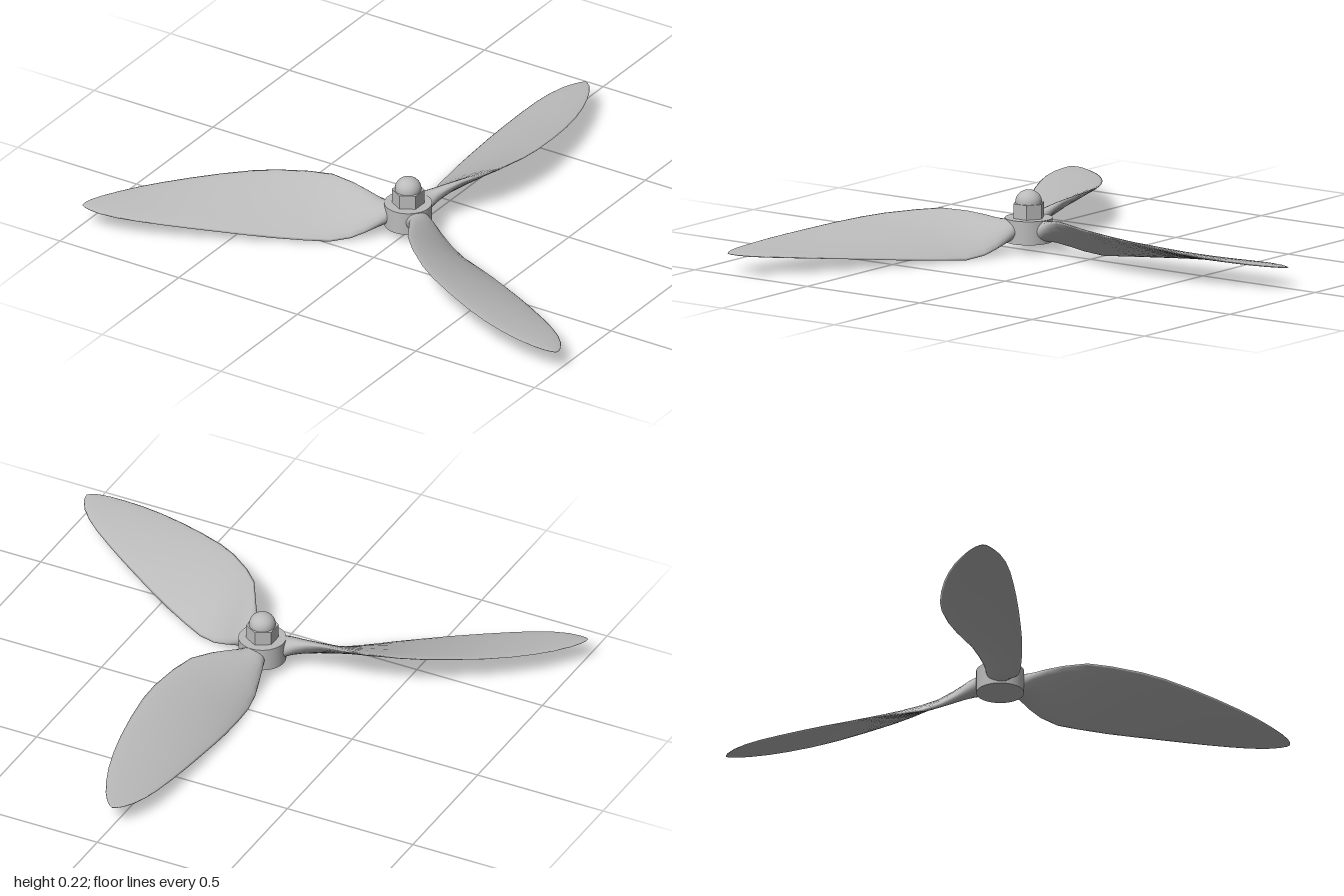
import * as THREE from 'three';

const HUB_Z = 0.275;

// Blade sections: distance from hub, low edge x, y, high edge x, y, thickness
const SECTIONS = [
  [0.03, -0.042, 0.083, 0.042, 0.083, 0.08],
  [0.075, -0.045, 0.075, 0.045, 0.095, 0.076],
  [0.11, -0.053, 0.052, 0.052, 0.118, 0.064],
  [0.15, -0.063, 0.033, 0.072, 0.134, 0.05],
  [0.2, -0.075, 0.016, 0.1, 0.147, 0.037],
  [0.275, -0.086, 0.006, 0.143, 0.155, 0.027],
  [0.36, -0.094, 0.013, 0.168, 0.151, 0.024],
  [0.475, -0.1, 0.023, 0.186, 0.144, 0.022],
  [0.56, -0.1, 0.031, 0.188, 0.137, 0.021],
  [0.675, -0.098, 0.042, 0.178, 0.126, 0.02],
  [0.78, -0.094, 0.051, 0.163, 0.115, 0.018],
  [0.875, -0.088, 0.059, 0.143, 0.106, 0.016],
  [0.96, -0.08, 0.066, 0.118, 0.099, 0.014],
  [1.03, -0.068, 0.071, 0.091, 0.093, 0.012],
  [1.09, -0.049, 0.075, 0.062, 0.089, 0.01],
  [1.13, -0.026, 0.078, 0.036, 0.086, 0.007],
  [1.148, -0.01, 0.08, 0.017, 0.084, 0.005],
  [1.155, 0.002, 0.082, 0.004, 0.082, 0.002],
];

// Loft of elliptical sections, twisted along the blade
function bladeGeometry() {
  const N = 20;
  const pos = [];
  const index = [];
  SECTIONS.forEach(([s, x0, y0, x1, y1, t], i) => {
    const dx = (x1 - x0) / 2;
    const dy = (y1 - y0) / 2;
    const len = Math.hypot(dx, dy);
    for (let j = 0; j < N; j++) {
      const a = (j / N) * Math.PI * 2;
      const c = Math.cos(a);
      const h = Math.sin(a) * t / 2;
      pos.push((x0 + x1) / 2 + dx * c - (dy / len) * h, (y0 + y1) / 2 + dy * c + (dx / len) * h, -s);
      if (i < SECTIONS.length - 1) {
        const p = i * N + j;
        const q = i * N + (j + 1) % N;
        index.push(p, p + N, q, q, p + N, q + N);
      }
    }
  });
  const geo = new THREE.BufferGeometry();
  geo.setAttribute('position', new THREE.Float32BufferAttribute(pos, 3));
  geo.setIndex(index);
  geo.computeVertexNormals();
  return geo;
}

export function createModel() {
  const model = new THREE.Group();
  model.name = 'propeller';
  const metal = new THREE.MeshStandardMaterial({ color: 0xbbbbbb });
  metal.name = 'grey metal';

  const add = (name, geo, y) => {
    const mesh = new THREE.Mesh(geo, metal);
    mesh.name = name;
    mesh.position.set(0, y, HUB_Z);
    model.add(mesh);
    return mesh;
  };

  // Three twisted blades around the hub
  const blade = bladeGeometry();
  for (let i = 0; i < 3; i++) {
    add('blade' + (i + 1), blade, 0).rotation.y = (i * Math.PI * 2) / 3;
  }

  // Hub, hexagonal nut with corners along z, and domed cap
  add('hub', new THREE.CylinderGeometry(0.085, 0.085, 0.085, 40), 0.0825);
  add('nut', new THREE.CylinderGeometry(0.058, 0.058, 0.055, 6).toNonIndexed(), 0.15)
    .geometry.computeVertexNormals();
  const dome = [[0.047, 0], [0.047, 0.008]];
  for (let i = 1; i <= 10; i++) {
    const a = (i / 10) * Math.PI / 2;
    dome.push([0.047 * Math.cos(a), 0.008 + 0.042 * Math.sin(a)]);
  }
  add('domeCap', new THREE.LatheGeometry(dome.map(([r, y]) => new THREE.Vector2(r, y)), 32), 0.175);

  return model;
}
